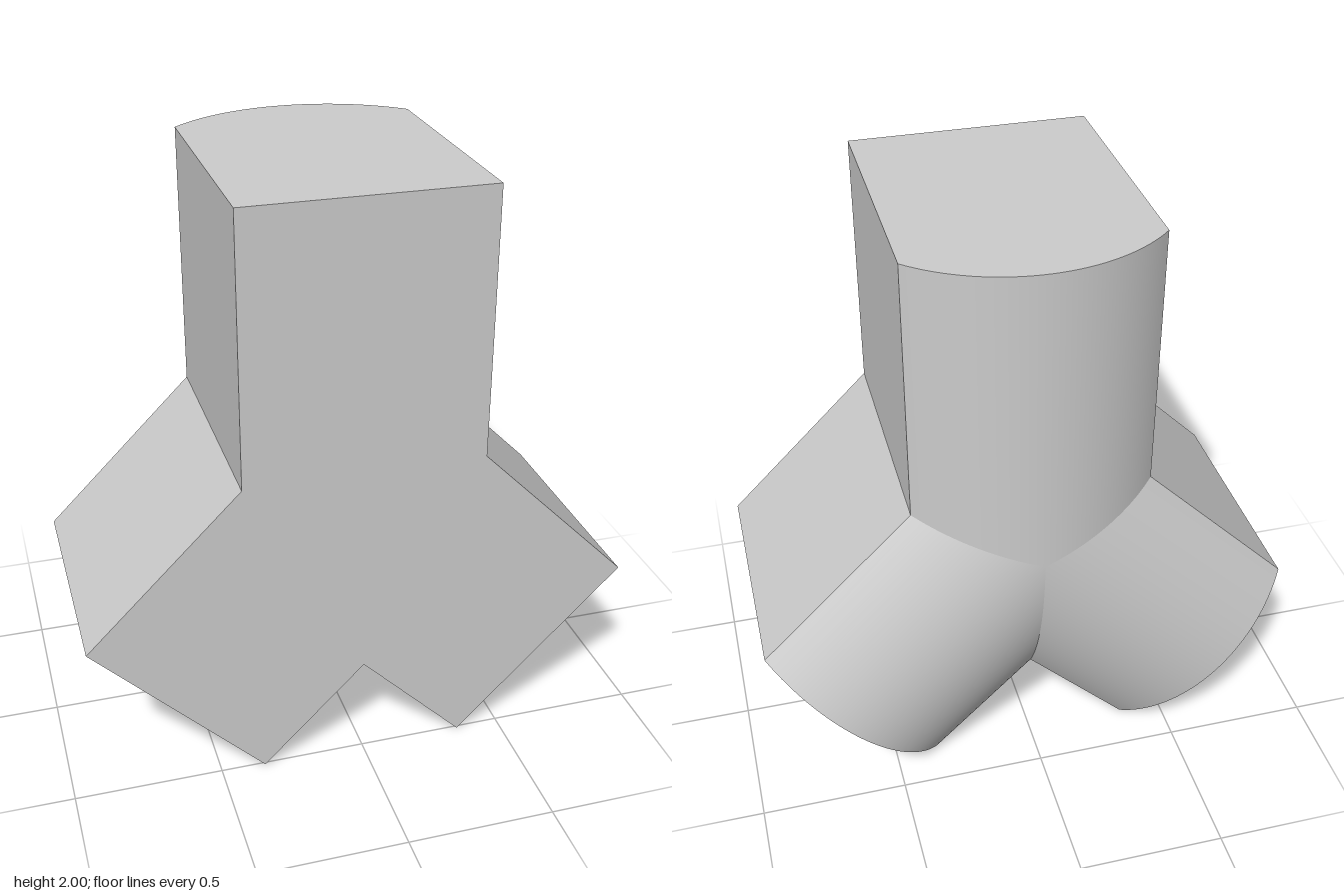
import * as THREE from 'three';
import { toCreasedNormals } from 'three/addons/utils/BufferGeometryUtils.js';

const HALF = 0.405;      // half width of every arm
const FRONT = 0.51;      // flat front plane
const SIDE = 0.345;      // depth where the rounded back begins
const HUB_Y = 0.9225;    // height where the three axes meet
const RADIUS = 0.58;     // radius of the rounded back

// D-shaped section: flat front, straight sides, arc at the back
function section() {
  const pts = [
    new THREE.Vector2(0, -FRONT),
    new THREE.Vector2(HALF, -FRONT),
  ];
  const steps = 32, a = Math.asin(HALF / RADIUS);
  for (let i = 0; i <= steps; i++) {
    const t = a - (2 * a * i) / steps;
    pts.push(new THREE.Vector2(RADIUS * Math.sin(t), SIDE + RADIUS * (Math.cos(t) - Math.cos(a))));
  }
  pts.push(new THREE.Vector2(-HALF, -FRONT));
  return new THREE.Shape(pts);
}

// One arm from the hub outwards; its inner end is mitred to meet its neighbours
function arm(name, length, angle, mitrePlus, mitreMinus, material) {
  const solid = new THREE.ExtrudeGeometry(section(), { depth: length, bevelEnabled: false, steps: 1 });

  // leave out the hidden inner cap
  const skip = solid.groups[0].count / 2;
  const pos = solid.attributes.position.array.slice(skip * 3);
  for (let i = 0; i < pos.length; i += 3) {
    const s = pos[i];
    if (pos[i + 2] < 1e-6) pos[i + 2] = s > 0 ? s * mitrePlus : -s * mitreMinus;
  }
  let geo = new THREE.BufferGeometry();
  geo.setAttribute('position', new THREE.BufferAttribute(pos, 3));
  geo = toCreasedNormals(geo, 0.4);
  geo.rotateX(-Math.PI / 2);
  geo.rotateZ(angle);
  geo.translate(0, HUB_Y, 0);

  const mesh = new THREE.Mesh(geo, material);
  mesh.name = name;
  return mesh;
}

export function createModel() {
  const group = new THREE.Group();
  group.name = 'threeWayJunction';
  const material = new THREE.MeshStandardMaterial({ color: 0xcccccc });
  const wide = Math.SQRT2 - 1; // mitre between upright and leg
  const square = 1;            // mitre between the two legs
  const turn = (3 * Math.PI) / 4;

  group.add(
    arm('upperArm', 2 - HUB_Y, 0, wide, wide, material),
    arm('leftLeg', 0.9, -turn, square, wide, material),
    arm('rightLeg', 0.9, turn, wide, square, material),
  );
  return group;
}
